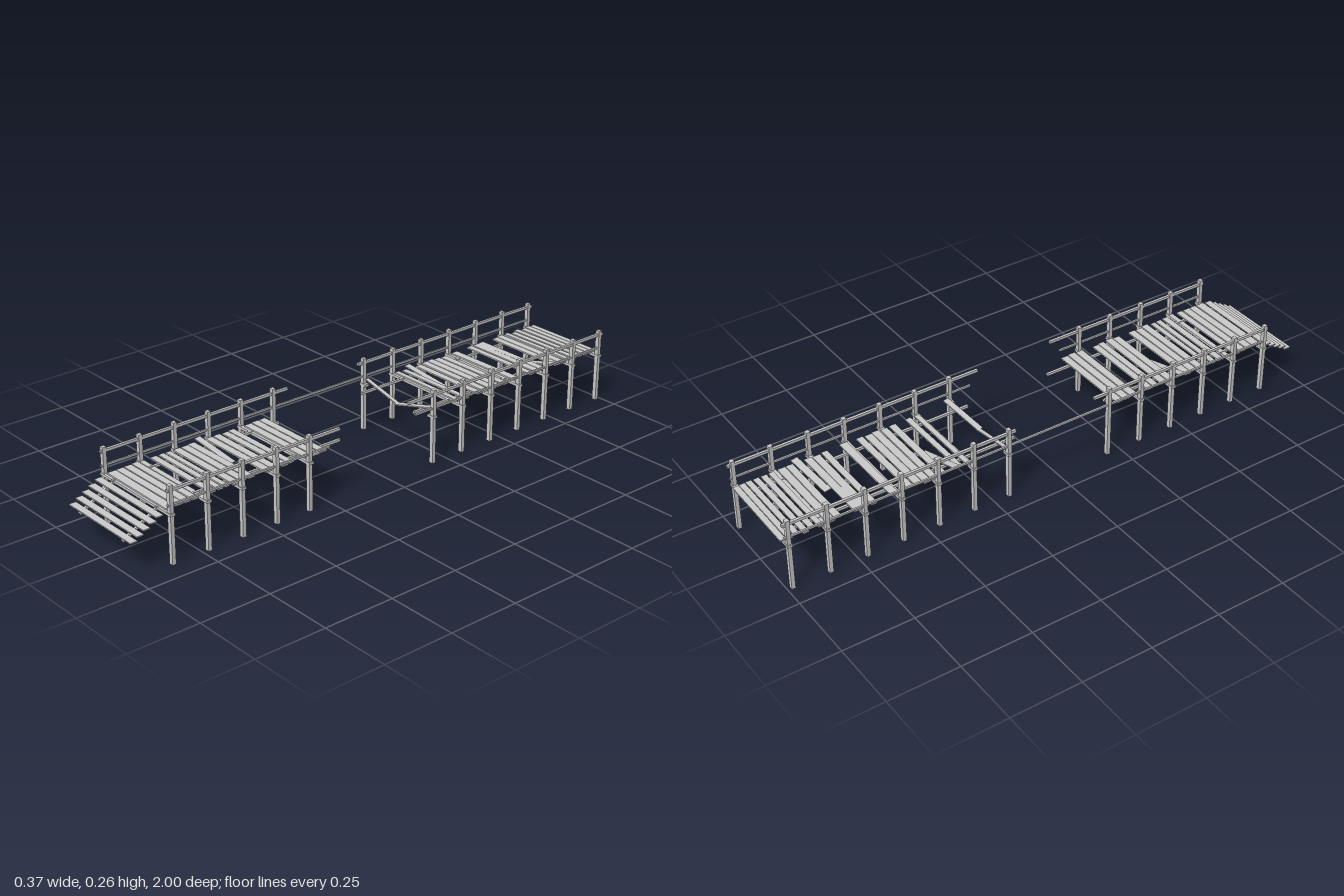
import * as THREE from 'three';

export function createModel() {
  const model = new THREE.Group();
  const wood = new THREE.MeshStandardMaterial({ color: 0xcccccc, flatShading: true });

  const box = (name, w, h, d, x, y, z, rx = 0, ry = 0, rz = 0) => {
    const m = new THREE.Mesh(new THREE.BoxGeometry(w, h, d), wood);
    m.name = name;
    m.position.set(x, y, z);
    m.rotation.set(rx, ry, rz);
    model.add(m);
    return m;
  };
  // Long timber running along z
  const rail = (name, x, y, z0, z1, w, h = w) =>
    box(name, w, h, Math.abs(z1 - z0), x, y, (z0 + z1) / 2);
  // Small repeatable irregularity in the range -1..1
  let seed = 7;
  const vary = () => {
    seed = (seed * 16807) % 2147483647;
    return (seed / 2147483647) * 2 - 1;
  };

  const frontFrames = [0.86, 0.727, 0.596, 0.464, 0.333];
  const backFrames = [-0.192, -0.324, -0.456, -0.588, -0.718, -0.85, -0.982];
  const X = 0.174;

  // Posts, with one extra left standing at the gap
  const post = (x, z) => {
    const h = 0.263 + vary() * 0.002;
    box('post', 0.0155, h, 0.0135, x, h / 2, z);
  };
  for (const z of [...frontFrames, ...backFrames]) {
    post(-X, z);
    post(X, z);
  }
  post(-X, 0.201);

  // Cross beams under the deck; the one at the broken edge keeps only its ends
  for (const z of [...frontFrames, ...backFrames.slice(1)])
    box('crossBeam', 0.37, 0.009, 0.018, 0, 0.168, z);
  for (const s of [-1, 1])
    box('brokenBeamEnd', 0.03, 0.009, 0.018, s * 0.17, 0.168, backFrames[0]);

  // Handrails and mid rails, broken at different lengths
  rail('handrail', -X, 0.247, 0.872, 0.14, 0.0095);
  rail('handrail', X, 0.247, 0.872, 0.21, 0.0095);
  rail('handrail', -X, 0.247, -0.165, -1, 0.0095);
  rail('handrail', X, 0.247, -0.08, -1, 0.0095);
  rail('midRail', -X, 0.198, 0.872, -0.995, 0.0065);
  rail('midRail', X, 0.198, 0.872, 0.25, 0.0065);
  rail('midRail', X, 0.198, -0.11, -0.995, 0.0065);

  // Deck stringers
  rail('stringer', -0.115, 0.17, 0.872, 0.225, 0.009);
  rail('stringer', 0.113, 0.17, 0.872, 0.158, 0.009);
  rail('stringer', -0.115, 0.17, -0.13, -0.995, 0.009);
  rail('stringer', 0.113, 0.17, -0.16, -0.995, 0.009);

  // Deck planks: [centre z, depth]
  const planks = [
    [0.26, 0.026], [0.29, 0.027], [0.321, 0.027], [0.387, 0.023], [0.413, 0.023],
    [0.447, 0.026], [0.476, 0.026], [0.543, 0.026], [0.572, 0.026], [0.602, 0.026],
    [0.635, 0.018], [0.66, 0.02], [0.69, 0.023], [0.757, 0.023], [0.786, 0.026],
    [0.815, 0.026], [0.847, 0.031],
    [-0.331, 0.018], [-0.363, 0.02], [-0.425, 0.024], [-0.458, 0.024], [-0.487, 0.026],
    [-0.515, 0.026], [-0.545, 0.024], [-0.602, 0.028], [-0.676, 0.022], [-0.707, 0.026],
    [-0.734, 0.026], [-0.8, 0.024], [-0.828, 0.027], [-0.864, 0.018], [-0.89, 0.02],
    [-0.916, 0.02], [-0.943, 0.02], [-0.967, 0.02], [-0.989, 0.02]
  ];
  for (const [z, d] of planks)
    box('deckPlank', 0.312 + vary() * 0.006, 0.005, d, -0.002 + vary() * 0.003, 0.1765, z, 0, vary() * 0.007);

  // Snapped half planks, low at the middle and resting high on the outside
  const snapped = (side, z, yaw, depth) => {
    const m = box('snappedPlank', 0.168, 0.004, depth, side * 0.081, 0.172, z);
    m.rotation.set(0, yaw, side * 0.2, 'YZX');
  };
  snapped(-1, 0.508, 0.1, 0.024);
  snapped(-1, -0.392, 0.14, 0.024);
  snapped(1, -0.764, 0.17, 0.026);
  snapped(-1, -0.194, -0.04, 0.014);
  snapped(1, -0.2, 0.17, 0.022);

  // Steps at the front with two sloping bearers
  for (let i = 0; i < 5; i++)
    box('stepTread', 0.328, 0.004, 0.025, 0, 0.113 + i * 0.0133, 0.987 - i * 0.0238);
  const slope = Math.atan2(0.07, 0.134);
  for (const x of [-0.115, 0.113])
    box('stepBearer', 0.008, 0.009, 0.151, x, 0.134, 0.928, slope);

  return model;
}
